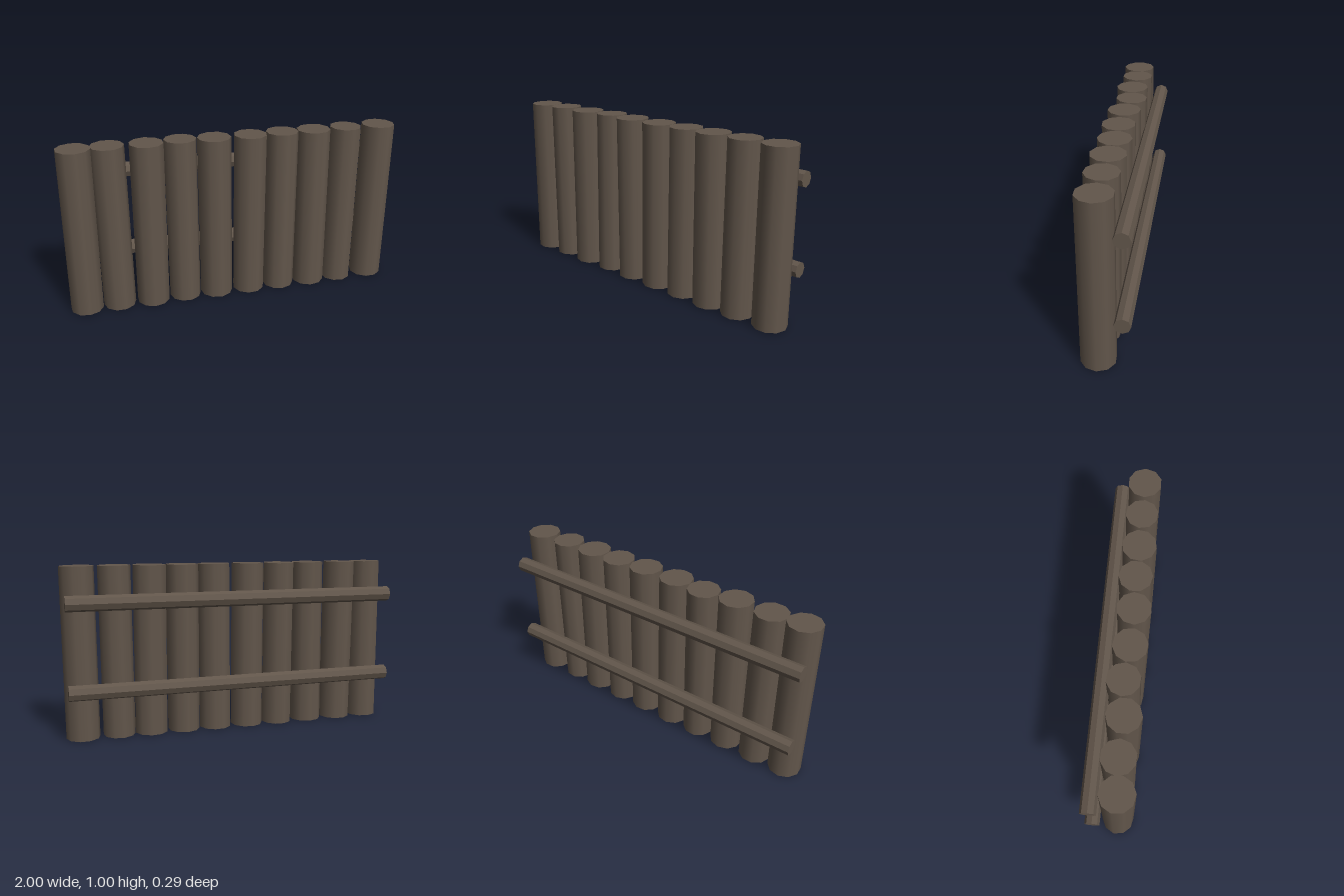
import * as THREE from 'three';

// Post data: x centre, z at the bottom, z at the top, radius, lean in x, turn
const POSTS = [
  [-0.905, 0.042, 0.045, 0.097, 0.004, 0.1],
  [-0.715, 0.038, 0.035, 0.096, -0.008, 0.3],
  [-0.505, 0.042, 0.042, 0.098, 0.004, 0.0],
  [-0.308, 0.036, 0.022, 0.094, -0.002, 0.25],
  [-0.112, 0.038, 0.040, 0.098, -0.006, 0.15],
  [0.097, 0.040, 0.042, 0.097, 0.004, 0.4],
  [0.293, 0.040, 0.034, 0.096, 0.002, 0.05],
  [0.490, 0.042, 0.038, 0.099, -0.006, 0.5],
  [0.688, 0.040, 0.036, 0.094, 0.006, 0.2],
  [0.899, 0.036, 0.036, 0.098, 0.004, 0.35],
];
const POST_HEIGHT = 1.0;
const RAIL_HEIGHTS = [0.307, 0.809];

export function createModel() {
  const group = new THREE.Group();
  group.name = 'logFence';

  const bark = new THREE.MeshStandardMaterial({ color: 0x62564b });
  bark.name = 'dark brown wood';
  const railWood = new THREE.MeshStandardMaterial({ color: 0x62564b, flatShading: true });
  railWood.name = 'dark brown rail wood';

  // Upright logs, each leaning slightly
  POSTS.forEach(([x, zBottom, zTop, radius, lean, turn], i) => {
    const geometry = new THREE.CylinderGeometry(radius, radius, POST_HEIGHT, 10);
    geometry.rotateY(turn);
    const post = new THREE.Mesh(geometry, bark);
    post.name = `post${i + 1}`;
    post.position.set(x, 0.508, (zBottom + zTop) / 2);
    post.rotation.set(Math.atan((zTop - zBottom) / POST_HEIGHT), 0, -lean);
    group.add(post);
  });

  // Two octagonal rails along the back
  RAIL_HEIGHTS.forEach((y, i) => {
    const rail = new THREE.Mesh(new THREE.CylinderGeometry(0.045, 0.045, 1.97, 8), railWood);
    rail.name = i === 0 ? 'lowerRail' : 'upperRail';
    rail.rotation.z = Math.PI / 2;
    rail.position.set(-0.005, y, -0.102);
    group.add(rail);
  });

  return group;
}
